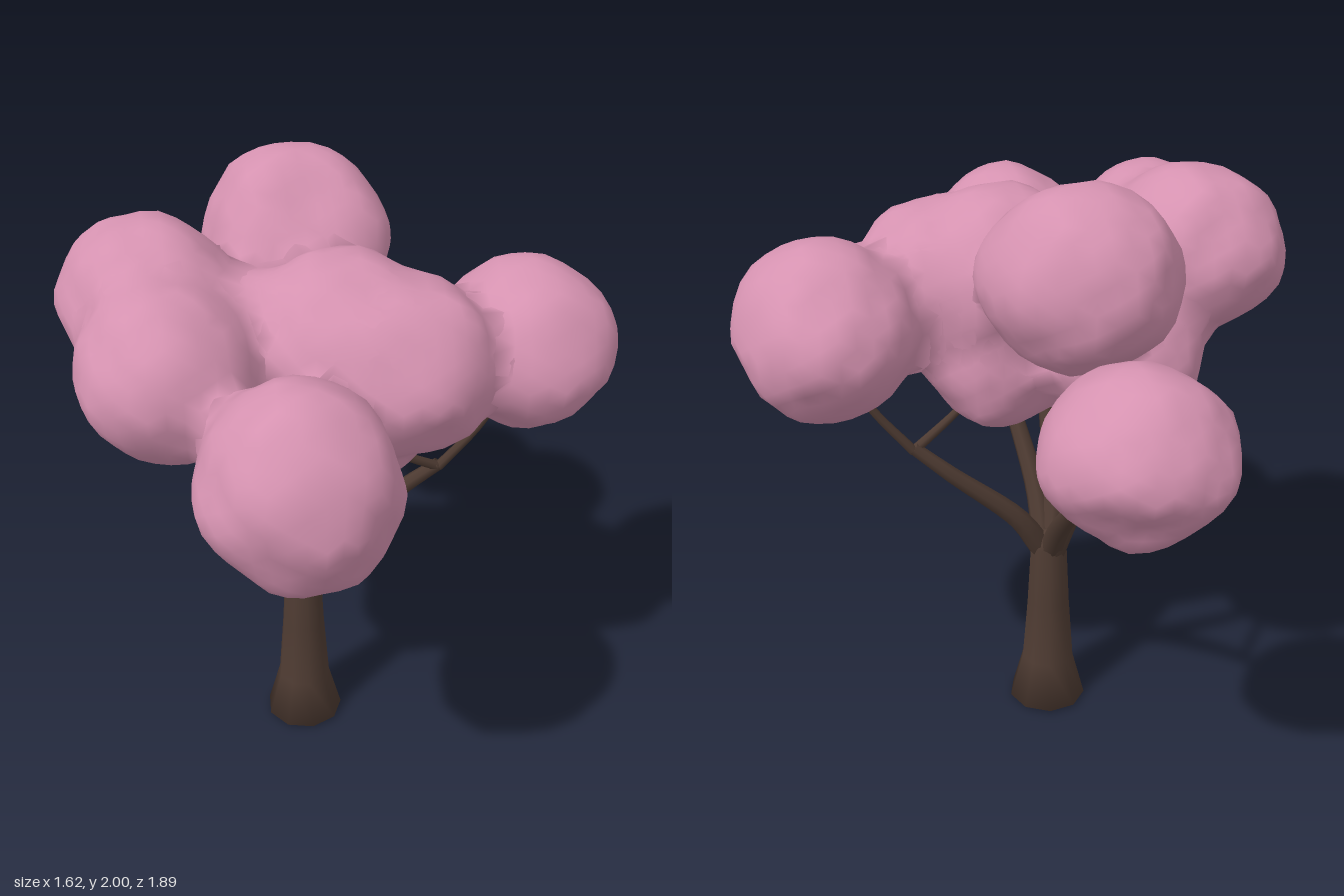
import * as THREE from 'three';
import { mergeVertices } from 'three/addons/utils/BufferGeometryUtils.js';

const V = (a) => new THREE.Vector3(...a);

// Foliage clumps: name, centre, radii, then bumps and dents as direction x, y, z and amount
const CLUMPS = [
  ['frontClump', [0.19, 1.405, 0.655], [0.295, 0.325, 0.3],
    [-0.6, -0.7, 0, -0.1], [0, -0.5, 0.85, -0.07], [0.6, 0.8, 0, 0.05]],
  ['backRightClump', [-0.54, 1.37, -0.68], [0.28, 0.265, 0.28],
    [0, -0.5, -0.85, -0.2], [-0.7, -0.65, 0, -0.06], [0, 0.7, -0.6, -0.08], [-0.6, 0, -0.75, -0.06], [0.8, 0, 0.6, 0.05]],
  ['leftClump', [0.52, 1.47, -0.3], [0.295, 0.29, 0.3],
    [0.75, -0.6, 0, -0.13], [0, -0.7, 0.7, -0.1], [0, 0.7, -0.7, -0.07], [0.7, 0, -0.75, -0.06], [0.6, 0, 0.8, 0.06], [-0.6, 0, -0.8, 0.07]],
  ['topBackClump', [-0.27, 1.71, -0.265], [0.305, 0.285, 0.275],
    [0.5, 0.7, 0.5, -0.16], [-0.5, 0.7, -0.5, 0.07], [-0.6, 0, -0.7, 0.05]],
  ['rightClump', [-0.52, 1.655, 0.25], [0.29, 0.262, 0.265]],
  ['rightFrontClump', [-0.32, 1.575, 0.49], [0.27, 0.27, 0.275],
    [0.6, -0.7, 0.1, 0.08], [0.6, 0, 0.75, 0.06]],
  ['middleClump', [0.06, 1.57, 0.09], [0.28, 0.28, 0.29]],
  ['middleLeftClump', [0.27, 1.52, 0.07], [0.27, 0.27, 0.28]],
  ['bridgeClump', [-0.18, 1.57, 0.16], [0.21, 0.2, 0.21]],
  ['lowRightClump', [-0.34, 1.36, 0.07], [0.26, 0.26, 0.26]],
  ['lowMiddleClump', [0.07, 1.32, 0.04], [0.24, 0.26, 0.23]],
].map(([name, centre, radii, ...bumps]) => ({
  name,
  centre: V(centre),
  radii: V(radii),
  bumps: bumps.map(([x, y, z, amount]) => ({ dir: V([x, y, z]).normalize(), amount })),
}));

// Blended distance to the whole lumpy canopy, negative inside
function canopy(p) {
  const k = 0.03;
  let sum = 0;
  for (const { centre, radii, bumps } of CLUMPS) {
    const q = p.clone().sub(centre).divide(radii);
    const length = q.length();
    q.normalize();
    let reach = 1 + 0.03 * q.y - 0.2 * Math.abs(q.x * q.y * q.z);
    for (const { dir, amount } of bumps) reach += amount * Math.max(0, q.dot(dir)) ** 6;
    sum += Math.exp(((reach - length) * radii.x) / k);
  }
  const lump = Math.sin(p.x * 15 + 1) * Math.sin(p.y * 16 + 2) * Math.sin(p.z * 15 + 0.5)
    + 0.4 * Math.sin(p.x * 27 + p.y * 19) * Math.cos(p.z * 26 - p.y * 13);
  return -k * Math.log(sum) + 0.01 * lump;
}

// Ball whose vertices are moved out to the canopy surface
function clumpGeometry({ centre, radii }) {
  let g = new THREE.IcosahedronGeometry(1, 5);
  g.deleteAttribute('normal');
  g.deleteAttribute('uv');
  g = mergeVertices(g, 1e-4);
  const pos = g.attributes.position;
  const normals = new Float32Array(pos.count * 3);
  const d = new THREE.Vector3();
  const p = new THREE.Vector3();
  const n = new THREE.Vector3();
  const e = 0.012;
  for (let i = 0; i < pos.count; i++) {
    d.fromBufferAttribute(pos, i).normalize();
    let s = 0.8;
    for (let step = 0; step < 14; step++) {
      p.copy(d).multiply(radii).multiplyScalar(s).add(centre);
      s = Math.min(s - (0.8 * canopy(p)) / radii.x, 1.3);
    }
    p.copy(d).multiply(radii).multiplyScalar(s).add(centre);
    const here = canopy(p);
    for (const axis of ['x', 'y', 'z']) {
      const next = p.clone();
      next[axis] += e;
      n[axis] = canopy(next) - here;
    }
    n.normalize().toArray(normals, i * 3);
    p.sub(centre);
    pos.setXYZ(i, p.x, p.y, p.z);
  }
  g.setAttribute('normal', new THREE.BufferAttribute(normals, 3));
  return g;
}

// Tube along a path, narrowing from r0 to r1
function branchGeometry(points, r0, r1) {
  const curve = new THREE.CatmullRomCurve3(points.map(V));
  const steps = points.length * 3;
  const sides = 7;
  const g = new THREE.TubeGeometry(curve, steps, 1, sides);
  const pos = g.attributes.position;
  const p = new THREE.Vector3();
  for (let i = 0; i < pos.count; i++) {
    const t = Math.floor(i / (sides + 1)) / steps;
    const c = curve.getPointAt(t);
    p.fromBufferAttribute(pos, i).sub(c).multiplyScalar(r0 + (r1 - r0) * t).add(c);
    pos.setXYZ(i, p.x, p.y, p.z);
  }
  return g;
}

export function createModel() {
  const tree = new THREE.Group();
  tree.name = 'blossomTree';
  const bark = new THREE.MeshStandardMaterial({ color: 0x4e3b32, side: THREE.DoubleSide });
  bark.name = 'darkBark';
  const blossom = new THREE.MeshStandardMaterial({ color: 0xd592b0 });
  blossom.name = 'pinkBlossom';

  const add = (name, geometry, material, at = [0, 0, 0]) => {
    const m = new THREE.Mesh(geometry, material);
    m.name = name;
    m.position.set(...at);
    tree.add(m);
  };

  // Trunk with a flared foot, closed at both ends
  const profile = [[0, 0], [0.133, 0.008], [0.09, 0.17], [0.073, 0.4], [0.062, 0.62], [0.045, 0.66], [0, 0.68]];
  add('trunk', new THREE.LatheGeometry(profile.map(([r, y]) => new THREE.Vector2(r, y)), 9), bark, [-0.11, 0, 0.045]);

  // Main limbs from the top of the trunk
  const limbs = [
    ['frontLimb', [[-0.11, 0.6, 0.06], [-0.1, 0.76, 0.14], [-0.03, 1.1, 0.28], [0, 1.22, 0.33]]],
    ['frontLeftLimb', [[-0.09, 0.6, 0.06], [-0.04, 0.77, 0.14], [0.1, 1.07, 0.28], [0.14, 1.18, 0.34]]],
    ['backLimb', [[-0.12, 0.6, 0.04], [-0.17, 0.74, -0.05], [-0.29, 0.98, -0.26], [-0.34, 1.09, -0.37]]],
    ['leftLimb', [[-0.09, 0.6, 0.04], [-0.02, 0.74, -0.02], [0.18, 0.94, -0.13], [0.29, 1.04, -0.17]]],
    ['rightLimb', [[-0.13, 0.6, 0.04], [-0.19, 0.76, -0.01], [-0.31, 1.04, -0.04], [-0.34, 1.17, -0.05]]],
  ];
  for (const [name, path] of limbs) add(name, branchGeometry(path, 0.042, 0.022), bark);

  // Thin twigs reaching into the foliage
  const twigs = [
    [[0.13, 1.16, 0.33], [0.17, 1.23, 0.46], [0.19, 1.4, 0.6]],
    [[-0.01, 1.19, 0.32], [-0.13, 1.36, 0.38], [-0.3, 1.55, 0.46]],
    [[-0.34, 1.08, -0.36], [-0.43, 1.18, -0.51], [-0.54, 1.33, -0.66]],
    [[-0.34, 1.08, -0.36], [-0.33, 1.17, -0.23], [-0.3, 1.35, -0.1]],
    [[0.29, 1.03, -0.17], [0.41, 1.2, -0.23], [0.5, 1.4, -0.28]],
    [[0.29, 1.03, -0.17], [0.18, 1.13, -0.05], [0.08, 1.25, 0.02]],
  ];
  twigs.forEach((path, i) => add('twig' + (i + 1), branchGeometry(path, 0.017, 0.01), bark));

  // Blossom canopy
  for (const c of CLUMPS) add(c.name, clumpGeometry(c), blossom, c.centre.toArray());
  return tree;
}
